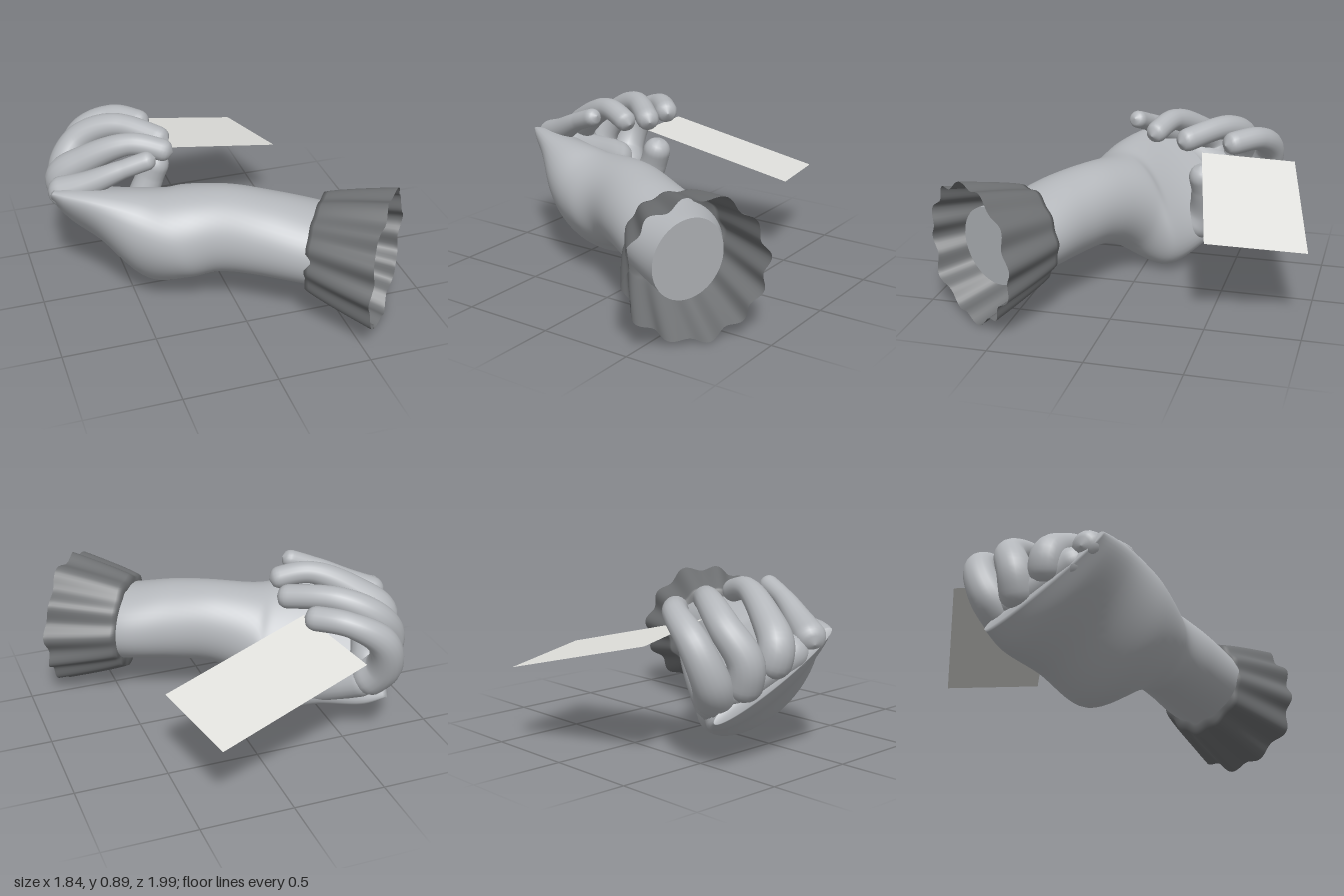
import * as THREE from 'three';

const V = (p) => new THREE.Vector3(...p);
const mat = (name, color, side = THREE.FrontSide) => {
  const m = new THREE.MeshStandardMaterial({ color, side });
  m.name = name;
  return m;
};

// Skin a list of closed rings, each with the same number of points
function loft(rings) {
  const n = rings[0].length, pos = [], idx = [];
  rings.forEach((ring) => ring.forEach((p) => pos.push(p.x, p.y, p.z)));
  for (let i = 0; i < rings.length - 1; i++) {
    for (let k = 0; k < n; k++) {
      const a = i * n + k, b = i * n + (k + 1) % n;
      idx.push(a, b, a + n, b, b + n, a + n);
    }
  }
  const g = new THREE.BufferGeometry();
  g.setAttribute('position', new THREE.Float32BufferAttribute(pos, 3));
  g.setIndex(idx);
  g.computeVertexNormals();
  return g;
}

const collapse = (ring) => {
  const c = new THREE.Vector3();
  ring.forEach((p) => c.add(p));
  c.divideScalar(ring.length);
  return ring.map(() => c.clone());
};

// Forearm and palm: elliptical sections given by outer edge, thumb edge, half thickness
function armGeometry() {
  const sections = [
    [[0.50, 0.39, 0.79], [0.67, 0.39, 0.42], 0.22],
    [[0.27, 0.41, 0.69], [0.55, 0.41, 0.27], 0.21],
    [[0.03, 0.45, 0.54], [0.30, 0.43, 0.15], 0.225],
    [[-0.17, 0.50, 0.41], [0.09, 0.39, 0.05], 0.235],
    [[-0.36, 0.56, 0.33], [-0.10, 0.25, -0.05], 0.25],
    [[-0.53, 0.63, 0.25], [-0.19, 0.07, -0.17], 0.24],
    [[-0.72, 0.67, 0.14], [-0.41, 0.16, -0.37], 0.15],
    [[-0.85, 0.68, 0.05], [-0.59, 0.21, -0.53], 0.1],
    [[-0.91, 0.68, 0.0], [-0.70, 0.27, -0.60], 0.05],
  ];
  const n = 48, steps = 64;
  const mids = sections.map(([p, q]) => V(p).add(V(q)).multiplyScalar(0.5));
  const rings = sections.map(([p, q, b], i) => {
    const u = V(q).sub(V(p)).multiplyScalar(0.5);
    const d = mids[Math.min(i + 1, mids.length - 1)].clone().sub(mids[Math.max(i - 1, 0)]);
    const v = d.cross(u).normalize().multiplyScalar(b);
    return Array.from({ length: n }, (_, k) => {
      const t = (k / n) * Math.PI * 2;
      return mids[i].clone().addScaledVector(u, Math.cos(t)).addScaledVector(v, Math.sin(t));
    });
  });
  const rails = Array.from({ length: n }, (_, k) => new THREE.CatmullRomCurve3(rings.map((r) => r[k])));
  const skin = Array.from({ length: steps + 1 }, (_, i) => rails.map((c) => c.getPoint(i / steps)));
  const first = skin[0], last = skin[steps];
  return loft([collapse(first), first, first.map((p) => p.clone()), ...skin.slice(1), collapse(last)]);
}

// Tapered finger with rounded ends along a curve
function fingerGeometry(points, r0, r1) {
  const curve = new THREE.CatmullRomCurve3(points.map(V));
  const steps = 48, n = 18, len = curve.getLength();
  const frames = curve.computeFrenetFrames(steps);
  const rings = [];
  for (let i = 0; i <= steps; i++) {
    const t = i / steps;
    const base = r0 + (r1 - r0) * Math.min(1, t * 1.4);
    const end = Math.min(1, (Math.min(t, 1 - t) * len) / base);
    const r = base * Math.sqrt(Math.max(0, 1 - (1 - end) ** 2));
    const c = curve.getPointAt(t);
    rings.push(Array.from({ length: n }, (_, k) => {
      const a = (k / n) * Math.PI * 2;
      return c.clone().addScaledVector(frames.normals[i], r * Math.cos(a))
        .addScaledVector(frames.binormals[i], r * Math.sin(a));
    }));
  }
  return loft(rings);
}

// Flared, fluted cuff, its narrow end tucked in against the forearm
function cuffGeometry() {
  const start = V([0.40, 0.41, 0.465]), end = V([0.695, 0.385, 0.695]);
  const u = V([0.6, 0, -0.8]), up = V([0, 1, 0]), axis = V([0.8, 0, 0.6]);
  const n = 144, rings = [];
  for (let i = -1; i <= 16; i++) {
    const t = Math.max(i, 0) / 16;
    const c = start.clone().lerp(end, t);
    const mean = i < 0 ? 0.212 : 0.258 + 0.105 * Math.pow(t, 0.85);
    const wave = 0.008 + 0.01 * t;
    rings.push(Array.from({ length: n }, (_, k) => {
      const a = (k / n) * Math.PI * 2;
      const f = Math.sin(12 * a + 0.7 * Math.sin(2 * a + 1));
      const r = mean + wave * f + 0.005 * Math.sin(5 * a + 2);
      return c.clone().addScaledVector(u, r * Math.cos(a)).addScaledVector(up, r * Math.sin(a))
        .addScaledVector(axis, 0.008 * Math.sin(7 * a) * t);
    }));
  }
  return loft(rings);
}

// Flat card from four corners
function cardGeometry() {
  const corners = [[-0.45, 0.64, -0.82], [-0.33, 0.69, -0.31], [0.5, 0.48, -0.49], [0.38, 0.43, -1.0]];
  const g = new THREE.BufferGeometry();
  g.setAttribute('position', new THREE.Float32BufferAttribute(corners.flat(), 3));
  g.setIndex([0, 1, 2, 0, 2, 3]);
  g.computeVertexNormals();
  return g;
}

export function createModel() {
  const group = new THREE.Group();
  const skin = mat('glove grey', 0xb4b7bb);
  const cloth = mat('cuff dark grey', 0x6e7072, THREE.DoubleSide);
  const paper = mat('card pale grey', 0xe3e3df, THREE.DoubleSide);
  const add = (name, geometry, material) => {
    const m = new THREE.Mesh(geometry, material);
    m.name = name;
    group.add(m);
  };

  add('forearmAndPalm', armGeometry(), skin);

  // Fingers and webs: name, path, base radius, tip radius
  const fingers = [
    ['littleFinger', [[-0.9, 0.61, -0.11], [-0.72, 0.69, -0.02], [-0.55, 0.78, 0.045], [-0.37, 0.85, 0.09]], 0.09, 0.05],
    ['ringFinger', [[-0.75, 0.46, -0.29], [-0.80, 0.61, -0.28], [-0.68, 0.725, -0.22], [-0.45, 0.835, -0.12], [-0.24, 0.79, -0.04]], 0.105, 0.06],
    ['middleFinger', [[-0.69, 0.36, -0.42], [-0.76, 0.55, -0.45], [-0.66, 0.71, -0.49], [-0.47, 0.805, -0.41], [-0.22, 0.77, -0.2]], 0.105, 0.065],
    ['indexFinger', [[-0.58, 0.32, -0.47], [-0.67, 0.46, -0.59], [-0.62, 0.65, -0.655], [-0.45, 0.76, -0.61], [-0.27, 0.76, -0.45]], 0.115, 0.065],
    ['knuckles', [[-0.82, 0.6, -0.08], [-0.74, 0.51, -0.27], [-0.68, 0.44, -0.42], [-0.6, 0.38, -0.53]], 0.09, 0.11],
    ['thumb', [[-0.36, 0.18, -0.24], [-0.36, 0.32, -0.32], [-0.3, 0.48, -0.34], [-0.24, 0.64, -0.32]], 0.1, 0.078],
    ['thumbWeb', [[-0.34, 0.19, -0.15], [-0.42, 0.23, -0.28], [-0.52, 0.3, -0.42], [-0.64, 0.38, -0.56]], 0.1, 0.09],
  ];
  for (const [name, path, r0, r1] of fingers) add(name, fingerGeometry(path, r0, r1), skin);

  add('cuff', cuffGeometry(), cloth);
  add('card', cardGeometry(), paper);
  return group;
}
